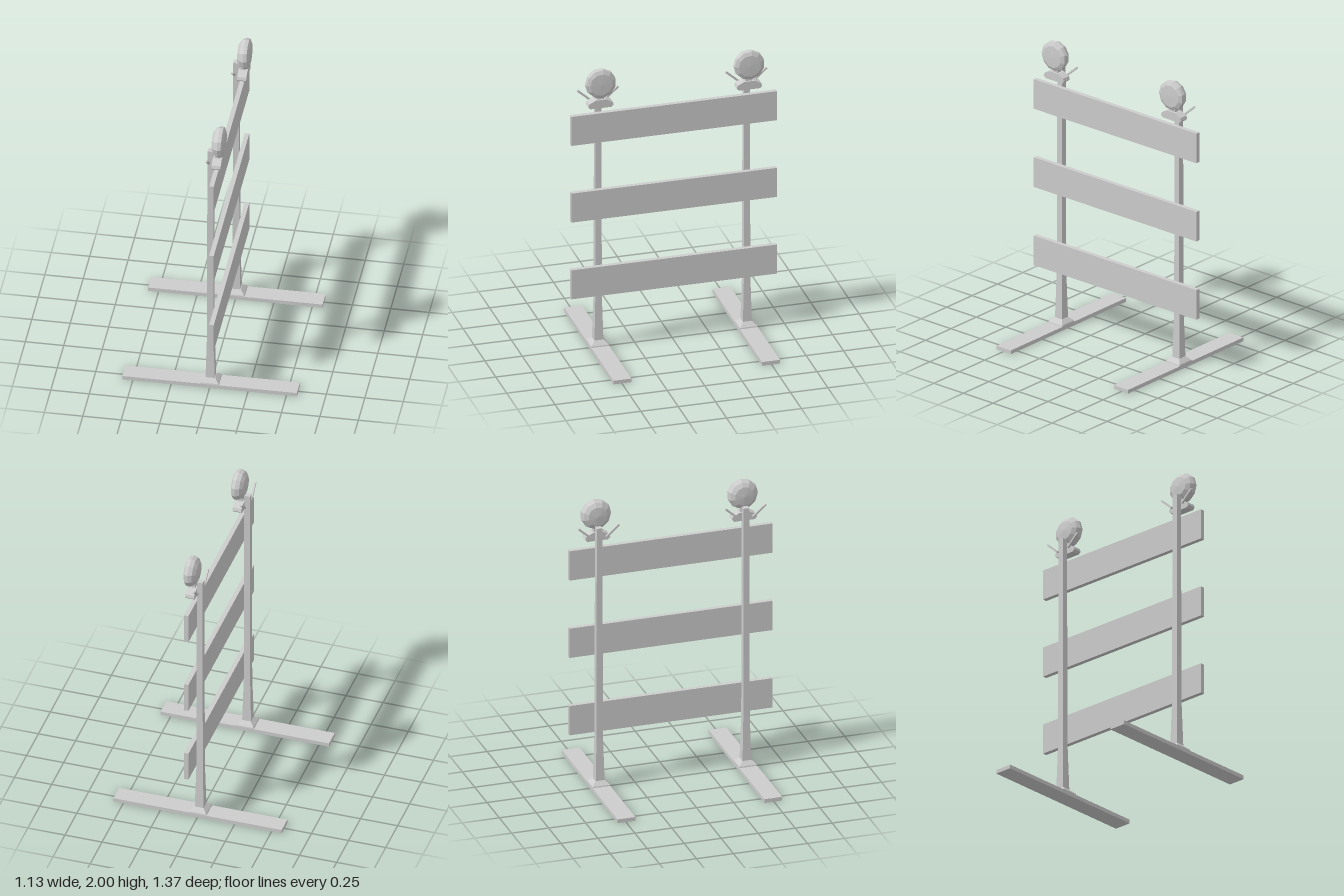
import * as THREE from 'three';

const material = new THREE.MeshStandardMaterial({ color: 0xcccccc, flatShading: true, side: THREE.DoubleSide });

function add(parent, name, geometry, x = 0, y = 0, z = 0) {
  const mesh = new THREE.Mesh(geometry, material);
  mesh.name = name;
  mesh.position.set(x, y, z);
  parent.add(mesh);
  return mesh;
}

// Square-section solid from [halfWidth, y] steps, sides facing the axes
function squareTurned(profile) {
  const points = profile.map(([h, y]) => new THREE.Vector2(h * Math.SQRT2, y));
  return new THREE.LatheGeometry(points, 4, Math.PI / 4);
}

function makeLamp() {
  const lamp = new THREE.Group();
  lamp.name = 'warningLamp';

  // Faceted disc turned about the x axis
  const profile = [[0, -0.043], [0.065, -0.036], [0.092, -0.018], [0.103, 0.008], [0.099, 0.03], [0.075, 0.042], [0, 0.045]];
  const disc = new THREE.LatheGeometry(profile.map(([r, y]) => new THREE.Vector2(r, y)), 11);
  disc.rotateZ(-Math.PI / 2);
  add(lamp, 'lampLens', disc, 0.048, 1.9);

  // Saddle-shaped holder under the disc
  const outline = [[-0.07, 1.73], [0.07, 1.73], [0.085, 1.745], [0.078, 1.765], [0.035, 1.787], [-0.035, 1.787], [-0.078, 1.765], [-0.085, 1.745]];
  const shape = new THREE.Shape(outline.map(([x, y]) => new THREE.Vector2(x, y)));
  const holder = new THREE.ExtrudeGeometry(shape, { depth: 0.06, bevelEnabled: false });
  holder.rotateY(Math.PI / 2);
  add(lamp, 'lampHolder', holder, 0.015);
  add(lamp, 'lampNeck', new THREE.BoxGeometry(0.035, 0.035, 0.045), 0.045, 1.795);

  // Pair of thin angled wings
  for (const s of [-1, 1]) {
    const wing = add(lamp, 'wing', new THREE.BoxGeometry(0.014, 0.012, 0.115), -0.002 - s * 0.005, 1.797, s * 0.092);
    wing.rotation.x = -s * 0.72;
  }
  return lamp;
}

export function createModel() {
  const model = new THREE.Group();
  model.name = 'roadBarricade';

  // Two uprights, each with a foot, collar, post and lamp
  for (const s of [-1, 1]) {
    const upright = new THREE.Group();
    upright.name = s > 0 ? 'frontUpright' : 'backUpright';
    upright.position.z = s * 0.496;
    model.add(upright);
    add(upright, 'foot', new THREE.BoxGeometry(1.135, 0.026, 0.12), 0, 0.013);
    add(upright, 'collar', squareTurned([[0.06, 0.026], [0.058, 0.034], [0.032, 0.06], [0, 0.06]]));
    add(upright, 'post', squareTurned([[0.03, 0.05], [0.022, 0.36], [0.021, 0.8], [0.019, 1.83], [0, 1.83]]), -0.002);
    upright.add(makeLamp());
  }

  // Three cross boards
  for (const y of [0.487, 1.032, 1.577]) {
    add(model, 'board', new THREE.BoxGeometry(0.03, 0.206, 1.374), 0.034, y);
  }
  return model;
}
